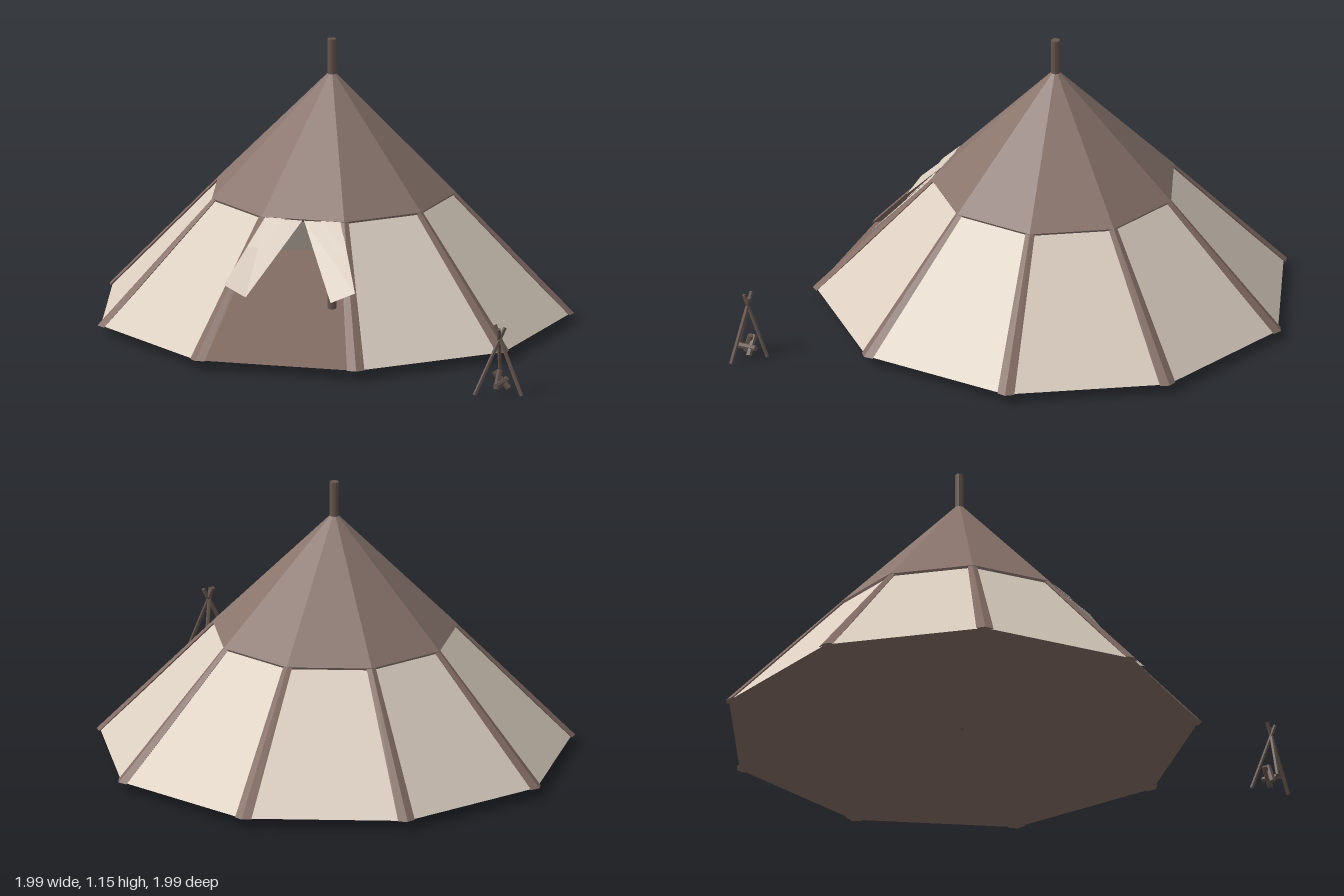
import * as THREE from 'three';
import { ConvexGeometry } from 'three/addons/geometries/ConvexGeometry.js';

const SIDES = 9, BASE_Y = 0.04, EAVE_Y = 0.53, BASE_R = 0.957, EAVE_R = 0.483;

function material(name, color) {
  const m = new THREE.MeshStandardMaterial({ color, flatShading: true, side: THREE.DoubleSide });
  m.name = name;
  return m;
}

export function createModel() {
  const canvas = material('cream canvas', 0xdccfc1);
  const brown = material('brown cloth', 0x8a756d);
  const trim = material('brown trim', 0x846d65);
  const wood = material('dark wood', 0x66564f);

  const model = new THREE.Group();
  model.name = 'campTent';
  const tent = new THREE.Group();
  tent.name = 'tent';
  tent.position.set(-0.04, 0, -0.03);
  model.add(tent);

  const add = (parent, name, geometry, mat) => {
    const mesh = new THREE.Mesh(geometry, mat);
    mesh.name = name;
    parent.add(mesh);
    return mesh;
  };

  // Flat sheet fanned from its first corner
  const sheet = (points) => {
    const corners = [];
    for (let i = 1; i < points.length - 1; i++) corners.push(points[0], points[i], points[i + 1]);
    const g = new THREE.BufferGeometry().setFromPoints(corners);
    g.computeVertexNormals();
    return g;
  };

  // Straight rod between two points
  const rod = (parent, name, a, b, r, sides = 6) => {
    const from = new THREE.Vector3(...a), to = new THREE.Vector3(...b);
    const dir = to.clone().sub(from);
    const mesh = add(parent, name, new THREE.CylinderGeometry(r, r, dir.length(), sides), wood);
    mesh.position.copy(from).add(to).multiplyScalar(0.5);
    mesh.quaternion.setFromUnitVectors(new THREE.Vector3(0, 1, 0), dir.normalize());
  };

  // Point at corner i, offset along the radius and the tangent
  const corner = (i, r, y, t = 0) => {
    const a = Math.PI + (i * 2 * Math.PI) / SIDES;
    return new THREE.Vector3(
      Math.sin(a) * r + Math.cos(a) * t, y, Math.cos(a) * r - Math.sin(a) * t);
  };

  // Floor
  const floor = add(tent, 'floor', new THREE.CircleGeometry(BASE_R, SIDES, Math.PI / 2), trim);
  floor.rotation.x = -Math.PI / 2;
  floor.position.y = BASE_Y;

  // Wall panels, with the front one left open as the doorway
  for (let i = 0; i < SIDES; i++) {
    if (i === 4) continue;
    add(tent, 'wallPanel', sheet([
      corner(i, BASE_R, BASE_Y), corner(i + 1, BASE_R, BASE_Y),
      corner(i + 1, EAVE_R, EAVE_Y), corner(i, EAVE_R, EAVE_Y)]), canvas);
  }

  // Tapered ridge strips over the corners
  const bend = Math.PI / SIDES;
  for (let i = 0; i < SIDES; i++) {
    const points = [];
    for (const [r, y, w] of [[BASE_R, BASE_Y, 0.037], [EAVE_R, EAVE_Y, 0.02]]) {
      const sideR = r + 0.009 - w * Math.sin(bend), t = w * Math.cos(bend);
      points.push(corner(i, r + 0.013, y), corner(i, r - 0.02, y),
        corner(i, sideR, y, t), corner(i, sideR, y, -t));
    }
    add(tent, 'cornerStrip', new ConvexGeometry(points), trim);
  }

  // Roof cap with a narrow rim
  const cap = add(tent, 'roofCap',
    new THREE.ConeGeometry(0.497, 0.5, SIDES, 1, true, Math.PI), brown);
  cap.position.y = EAVE_Y + 0.25;
  const rim = add(tent, 'roofRim',
    new THREE.CylinderGeometry(0.497, 0.49, 0.012, SIDES, 1, true, Math.PI), brown);
  rim.position.y = EAVE_Y - 0.006;

  // Centre pole
  rod(tent, 'centrePole', [0, BASE_Y, 0], [0, 1.155, 0], 0.018, 10);

  // Door flaps folded back to each side, lifted off the wall slope
  const slope = (BASE_R - EAVE_R) / (EAVE_Y - BASE_Y);
  const front = (x, y, lift) => new THREE.Vector3(
    x, y, (EAVE_R + (EAVE_Y - y) * slope) * Math.cos(bend) + lift);
  for (const s of [-1, 1]) {
    const flap = [[0, 0.53, 0.005], [0.175, 0.26, 0.01], [0.27, 0.3, 0.025],
      [0.215, 0.41, 0.016], [0.155, 0.53, 0.008]].map(([x, y, l]) => front(s * x, y, l));
    if (s < 0) flap.reverse();
    add(tent, s > 0 ? 'leftDoorFlap' : 'rightDoorFlap', sheet(flap), canvas);
    const fold = [[0.075, 0.53, 0.016], [0.15, 0.43, 0.022], [0.205, 0.43, 0.024],
      [0.155, 0.53, 0.016]].map(([x, y, l]) => front(s * x, y, l));
    if (s < 0) fold.reverse();
    add(tent, 'flapFold', sheet(fold), canvas);
  }

  // Campfire tripod with small logs beneath
  const fire = new THREE.Group();
  fire.name = 'campfire';
  model.add(fire);
  rod(fire, 'tripodLeg', [0.805, 0.005, 0.985], [0.91, 0.27, 0.905], 0.008);
  rod(fire, 'tripodLeg', [0.99, 0.005, 0.95], [0.87, 0.28, 0.91], 0.008);
  rod(fire, 'tripodLeg', [0.875, 0.005, 0.84], [0.892, 0.27, 0.935], 0.008);
  rod(fire, 'log', [0.865, 0.085, 0.9], [0.925, 0.02, 0.9], 0.012);
  rod(fire, 'log', [0.885, 0.04, 0.96], [0.91, 0.05, 0.875], 0.012);
  rod(fire, 'log', [0.88, 0.02, 0.93], [0.89, 0.095, 0.905], 0.012);

  return model;
}
